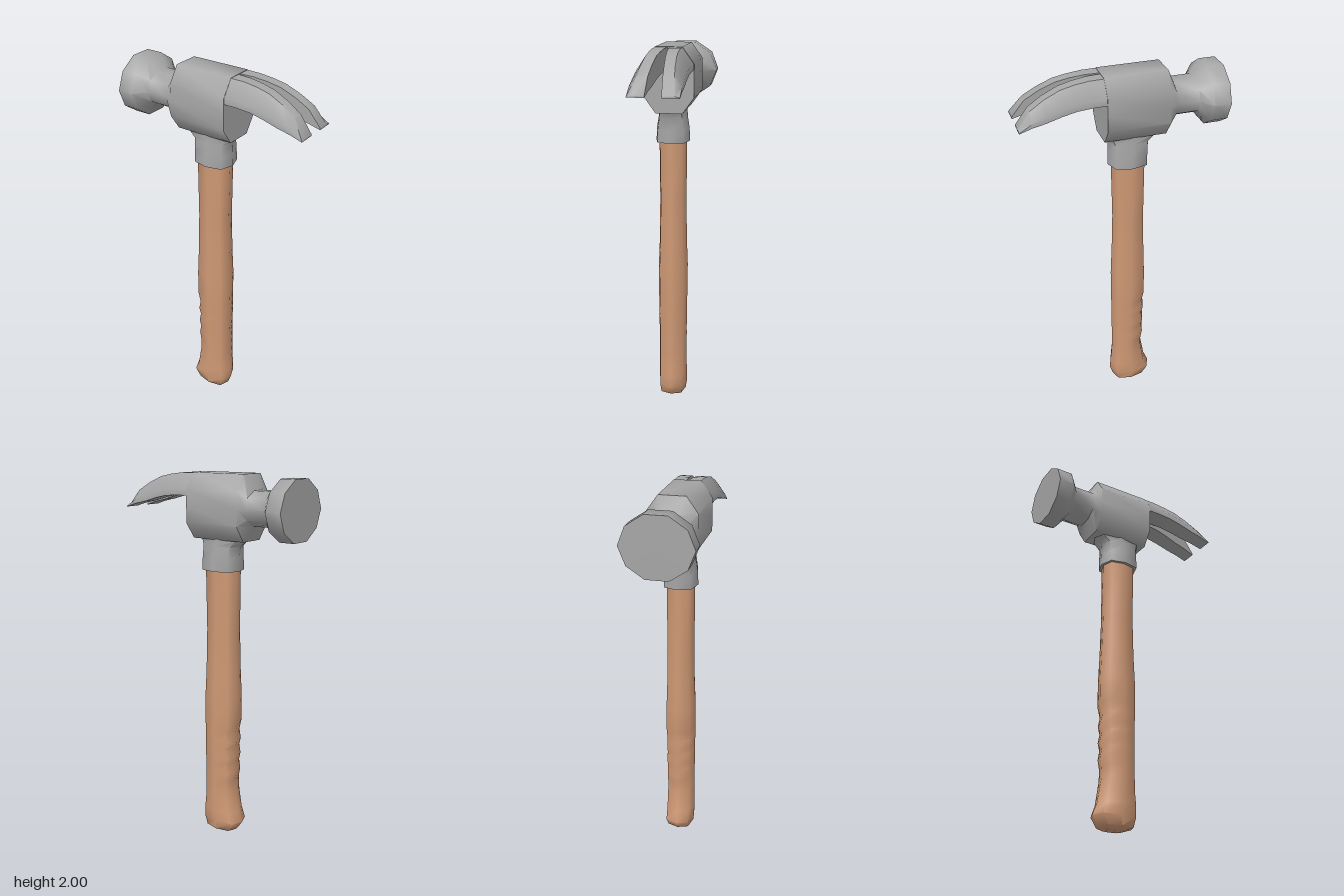
import * as THREE from 'three';
import { toCreasedNormals } from 'three/addons/utils/BufferGeometryUtils.js';

// Skin a closed, capped solid over rings of points ordered counter-clockwise about the axis.
function loft(rings, crease = 1.05) {
  const n = rings[0].length, m = rings.length;
  const pos = rings.flat(2), idx = [];
  for (let i = 0; i < m - 1; i++) {
    for (let j = 0; j < n; j++) {
      const k = (j + 1) % n;
      const a = i * n + j, b = i * n + k, c = a + n, d = b + n;
      idx.push(a, b, d, a, d, c);
    }
  }
  [0, m - 1].forEach((r, end) => {
    const centre = [0, 1, 2].map(q => rings[r].reduce((s, p) => s + p[q], 0) / n);
    const o = pos.length / 3;
    pos.push(...centre);
    for (let j = 0; j < n; j++) {
      const a = r * n + j, b = r * n + (j + 1) % n;
      idx.push(o, ...(end ? [a, b] : [b, a]));
    }
  });
  const g = new THREE.BufferGeometry();
  g.setAttribute('position', new THREE.Float32BufferAttribute(pos, 3));
  g.setIndex(idx);
  return toCreasedNormals(g, crease);
}

// Ten-sided head section: widest half-width, shoulder and top flat, with heights about the axis.
function headRing(z, [wx, sx, sy, tx, ty]) {
  const y = 1.832;
  const q = [[wx, 0], [sx, sy], [tx, ty], [-tx, ty], [-sx, sy],
    [-wx, 0], [-sx, -sy], [-tx, -ty], [tx, -ty], [sx, -sy]];
  return q.map(p => [p[0], y + p[1], z]);
}

// Eight-sided upright section: half-width and front/back limits.
function shaftRing(y, w, front, back, diag = 0.78) {
  const c = (front + back) / 2, h = (front - back) / 2;
  return Array.from({ length: 8 }, (_, i) => {
    const a = i * Math.PI / 4, s = i % 2 ? diag / Math.SQRT1_2 : 1;
    return [w * Math.cos(a) * s, y, c - h * Math.sin(a) * s];
  });
}

export function createModel() {
  const steel = new THREE.MeshStandardMaterial({ color: 0xa6a6a6 });
  steel.name = 'steel';
  const wood = new THREE.MeshStandardMaterial({ color: 0xcf9975 });
  wood.name = 'wood';
  const model = new THREE.Group();
  model.name = 'hammer';
  const add = (name, geometry, material) => {
    const mesh = new THREE.Mesh(geometry, material);
    mesh.name = name;
    model.add(mesh);
  };

  // Striking face, neck and body in one run from back to front
  const poll = [0.183, 0.146, 0.093, 0.057, 0.152];
  const neck = [0.115, 0.097, 0.054, 0.038, 0.088];
  const body = [0.13, 0.13, 0.085, 0.07, 0.168];
  add('head', loft([
    headRing(-0.523, poll), headRing(-0.437, poll),
    headRing(-0.385, neck), headRing(-0.27, neck),
    headRing(-0.23, body), headRing(0.093, body),
  ]), steel);

  // Split claw: z, top, underside, inner edge, outer edge of the top
  const claw = [
    [0.06, 1.998, 1.885, 0.004, 0.07],
    [0.165, 1.997, 1.884, 0.01, 0.07],
    [0.24, 1.988, 1.878, 0.016, 0.072],
    [0.31, 1.973, 1.863, 0.022, 0.076],
    [0.39, 1.938, 1.84, 0.029, 0.082],
    [0.46, 1.895, 1.825, 0.035, 0.09],
    [0.523, 1.815, 1.805, 0.04, 0.1],
  ];
  for (const side of [1, -1]) {
    const rings = claw.map(([z, top, low, inner, edge]) => {
      const ring = [[inner, low], [0.126, low], [0.126, low + (top - low) * 0.3],
        [edge, top], [inner, top]].map(p => [side * p[0], p[1], z]);
      return side > 0 ? ring : ring.reverse();
    });
    add(side > 0 ? 'leftClaw' : 'rightClaw', loft(rings, 0.9), steel);
  }

  // Collar flaring up into the head
  add('collar', loft([
    shaftRing(1.5, 0.091, 0.058, -0.155),
    shaftRing(1.57, 0.088, 0.058, -0.155),
    shaftRing(1.63, 0.078, 0.058, -0.16),
    shaftRing(1.66, 0.074, 0.075, -0.2),
    shaftRing(1.69, 0.074, 0.091, -0.228),
  ]), steel);

  // Handle with finger ripples along the back and a swollen butt: y, half-width, front, back
  const handle = [
    [0, 0.03, -0.02, -0.125], [0.018, 0.074, 0.036, -0.152],
    [0.07, 0.081, 0.054, -0.188], [0.13, 0.081, 0.051, -0.162],
    [0.2, 0.079, 0.043, -0.149], [0.26, 0.079, 0.041, -0.138],
    [0.32, 0.079, 0.041, -0.137], [0.37, 0.079, 0.041, -0.147],
    [0.42, 0.079, 0.041, -0.137], [0.46, 0.08, 0.042, -0.148],
    [0.51, 0.08, 0.042, -0.137], [0.55, 0.08, 0.043, -0.149],
    [0.6, 0.081, 0.043, -0.137], [0.66, 0.082, 0.044, -0.152],
    [0.8, 0.082, 0.045, -0.152], [0.95, 0.076, 0.039, -0.146],
    [1.18, 0.073, 0.034, -0.139], [1.52, 0.075, 0.041, -0.141],
  ];
  add('handle', loft(handle.map(r => shaftRing(...r))), wood);
  return model;
}
